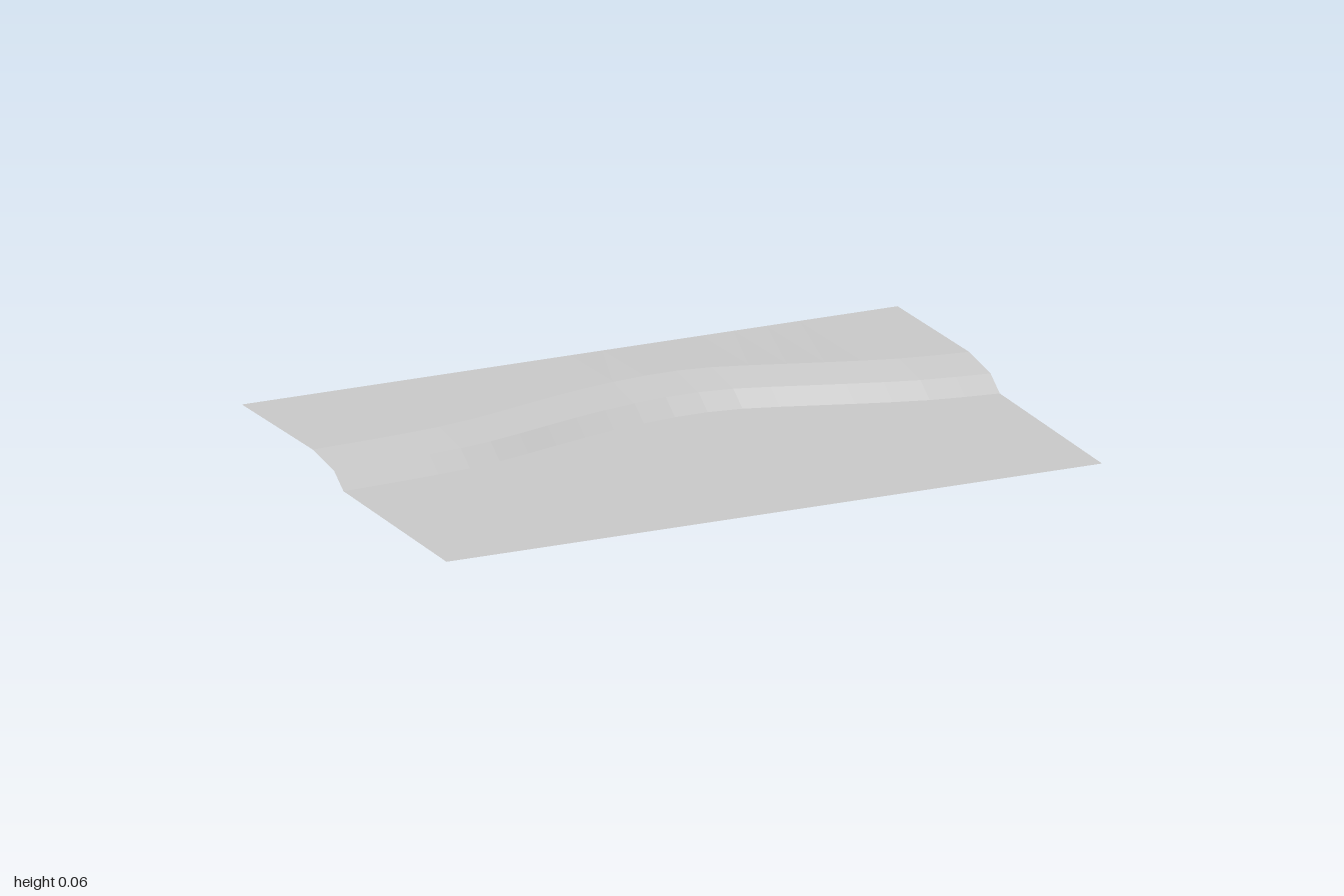
import * as THREE from 'three';

const SEGMENTS = 20;
const HALF_DEPTH = 0.667;

// Plan position of the slope foot, bowing toward the back right of centre
const foot = new THREE.SplineCurve([
  [-1, -0.005], [-0.7, -0.025], [-0.5, -0.055], [-0.2, -0.14], [0, -0.183], [0.14, -0.195],
  [0.3, -0.182], [0.6, -0.088], [0.8, -0.03], [1, 0],
].map(([x, z]) => new THREE.Vector2(x, z)));
const samples = foot.getPoints(300);

function footZ(x) {
  const i = samples.findIndex((p) => p.x >= x - 1e-6);
  if (i <= 0) return samples[i < 0 ? samples.length - 1 : 0].z ?? samples[i < 0 ? samples.length - 1 : 0].y;
  const a = samples[i - 1], b = samples[i];
  return THREE.MathUtils.mapLinear(x, a.x, b.x, a.y, b.y);
}

// Long lines of the terrain sheet, each giving depth and height at x
const lines = {
  back: { z: () => -HALF_DEPTH, y: 0.05 },
  crest: { z: (x) => footZ(x) - 0.2, y: 0.06 },
  shoulder: { z: (x) => footZ(x) - 0.06, y: 0.04 },
  foot: { z: footZ, y: 0 },
  front: { z: () => HALF_DEPTH, y: 0 },
};

// Strip of sheet between two long lines, facing up
function strip(name, rear, fore, material) {
  const geometry = new THREE.PlaneGeometry(2, 1, SEGMENTS, 1);
  const pos = geometry.attributes.position;
  for (let i = 0; i < pos.count; i++) {
    const x = pos.getX(i);
    const line = pos.getY(i) > 0 ? rear : fore;
    pos.setXYZ(i, x, line.y, line.z(x));
  }
  geometry.computeVertexNormals();
  const mesh = new THREE.Mesh(geometry, material);
  mesh.name = name;
  return mesh;
}

export function createModel() {
  const group = new THREE.Group();
  group.name = 'terrain';
  const grey = new THREE.MeshStandardMaterial({ color: 0xcccccc, flatShading: true, side: THREE.DoubleSide });
  grey.name = 'light grey';
  group.add(
    strip('upperGround', lines.back, lines.crest, grey),
    strip('gentleSlope', lines.crest, lines.shoulder, grey),
    strip('steepBank', lines.shoulder, lines.foot, grey),
    strip('lowerGround', lines.foot, lines.front, grey),
  );
  return group;
}
